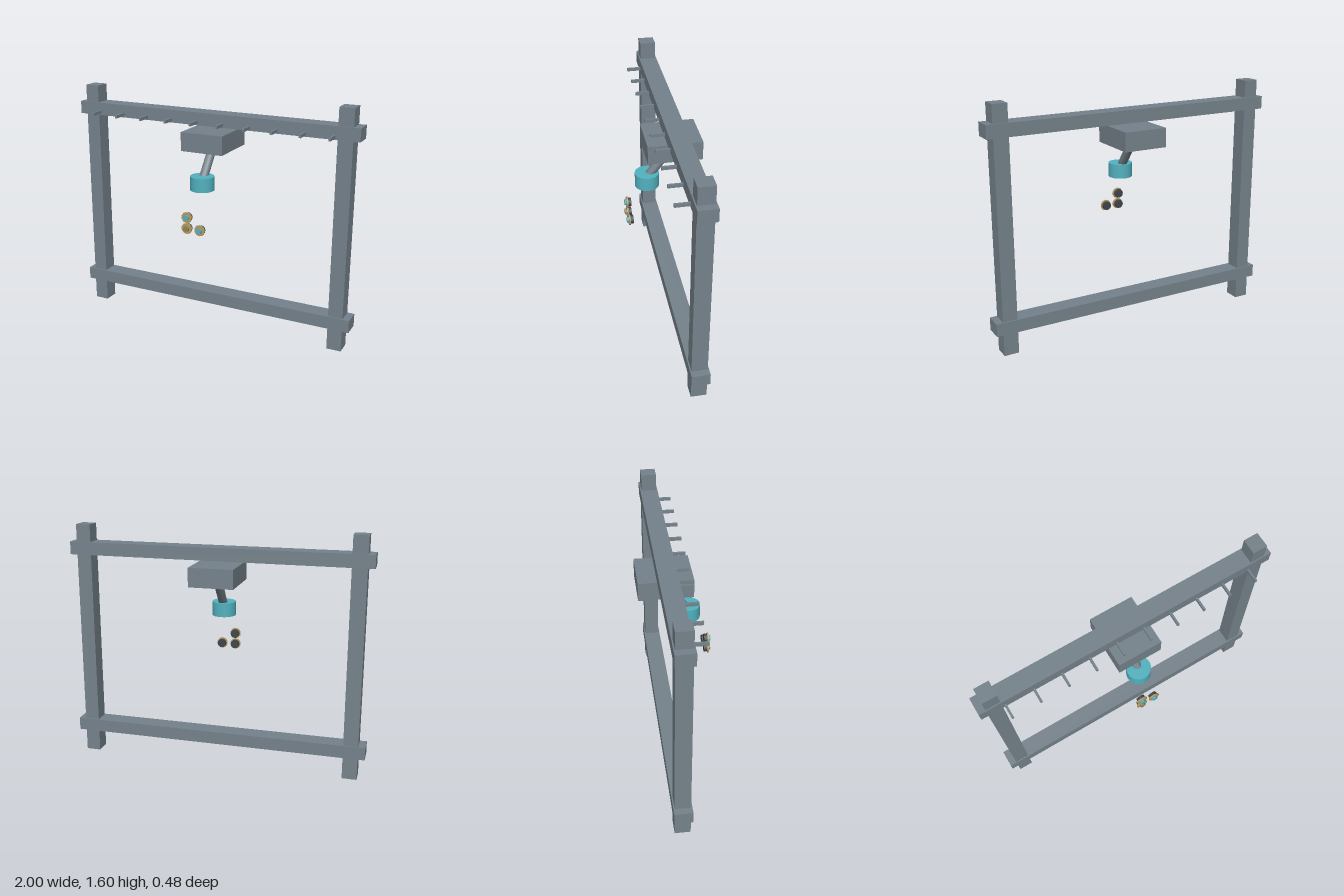
import * as THREE from 'three';

const material = (name, color) => Object.assign(new THREE.MeshStandardMaterial({ color }), { name });

export function createModel() {
  const steel = material('steel grey', 0x75828b);
  const teal = material('teal', 0x52b2c0);
  const brass = material('brass', 0xb89c62);
  const dull = material('dull brass', 0x94845f);
  const dark = material('dark grey', 0x40464d);

  const model = new THREE.Group();
  model.name = 'frameWithLamp';

  const add = (parent, name, geometry, mat, x, y, z) => {
    const mesh = new THREE.Mesh(geometry, mat);
    mesh.name = name;
    mesh.position.set(x, y, z);
    parent.add(mesh);
    return mesh;
  };
  const box = (w, h, d) => new THREE.BoxGeometry(w, h, d);
  // Disc whose axis points to the front
  const disc = (r, depth, sides) => new THREE.CylinderGeometry(r, r, depth, sides).rotateX(Math.PI / 2);

  // Frame: two posts and two rails that run past them
  const frameZ = -0.063;
  for (const side of [-1, 1]) {
    add(model, side > 0 ? 'leftPost' : 'rightPost', box(0.097, 1.6, 0.103), steel, side * 0.906, 0.8, frameZ);
  }
  add(model, 'topRail', box(2, 0.085, 0.119), steel, 0, 1.442, frameZ);
  add(model, 'bottomRail', box(2, 0.085, 0.119), steel, 0, 0.19, frameZ);

  // Row of pegs along the top rail
  for (let i = 0; i < 10; i++) {
    add(model, 'peg', box(0.014, 0.021, 0.1), steel, (i - 4.5) * 0.1866, 1.42, 0.038);
  }

  // Housing, slanted arm and cup
  add(model, 'housing', box(0.294, 0.125, 0.349), steel, 0, 1.309, frameZ);
  const low = new THREE.Vector3(0, 1.05, 0.1);
  const high = new THREE.Vector3(0, 1.285, -0.08);
  const mid = low.clone().add(high).multiplyScalar(0.5);
  const arm = add(model, 'arm', new THREE.CylinderGeometry(0.029, 0.029, low.distanceTo(high), 12), steel, mid.x, mid.y, mid.z);
  arm.quaternion.setFromUnitVectors(new THREE.Vector3(0, 1, 0), high.clone().sub(low).normalize());
  add(model, 'cup', new THREE.CylinderGeometry(0.079, 0.079, 0.093, 24), teal, 0, 1.047, 0.095);

  // Three small knobs: dark base, brass flange, coloured centre
  for (const [x, y, centre] of [[-0.048, 0.84, teal], [-0.048, 0.765, dull], [0.045, 0.765, teal]]) {
    const knob = new THREE.Group();
    knob.name = 'knob';
    knob.position.set(x, y, 0);
    add(knob, 'knobBase', disc(0.029, 0.022, 12), dark, 0, 0, 0.208);
    add(knob, 'knobFlange', disc(0.037, 0.01, 10), brass, 0, 0, 0.223);
    add(knob, 'knobCentre', disc(0.019, 0.013, 12), centre, 0, 0, 0.234);
    model.add(knob);
  }

  return model;
}
